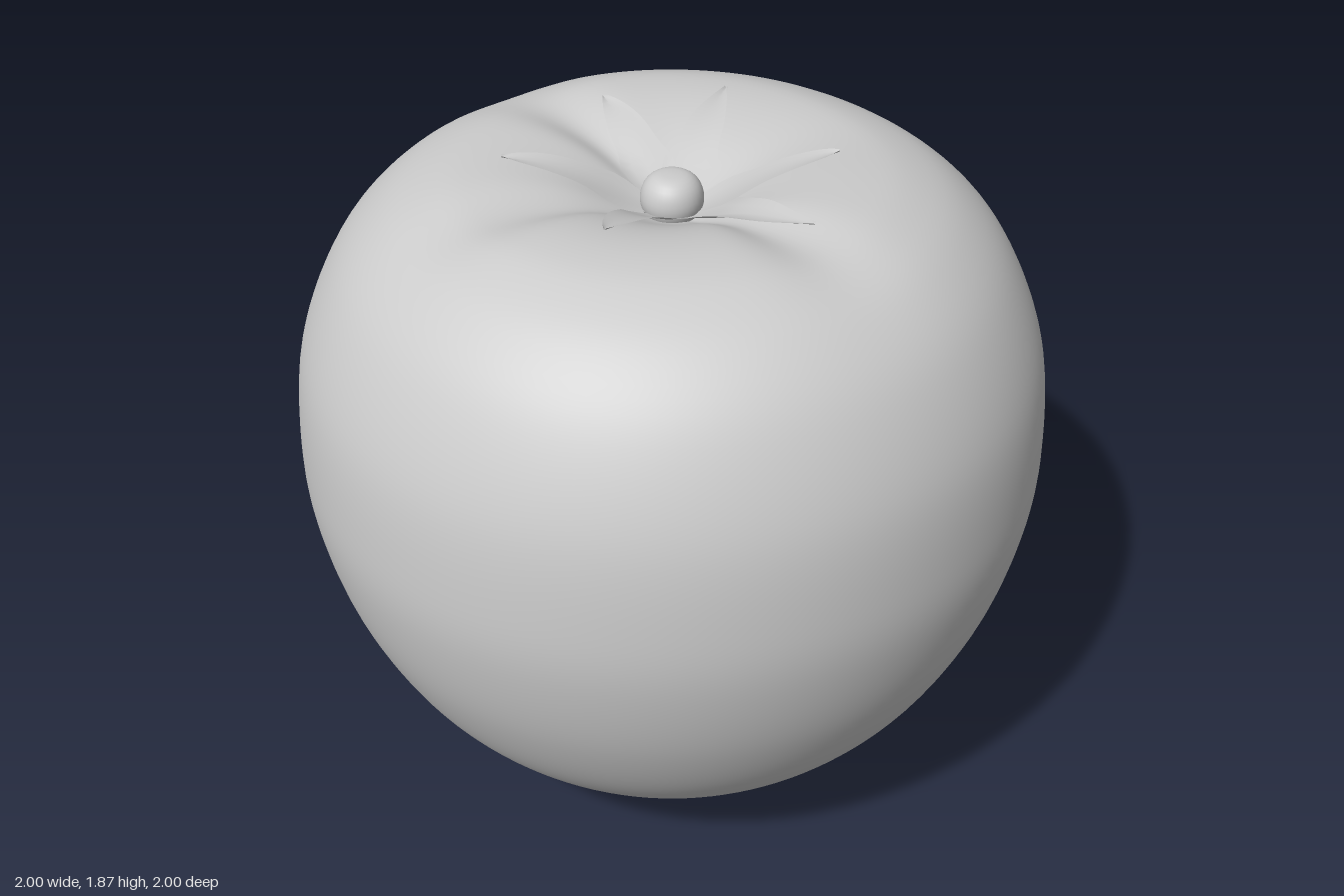
import * as THREE from 'three';
import { mergeVertices } from 'three/addons/utils/BufferGeometryUtils.js';

const TOP = 1.82;

// Creases running out from the stem: [angle from +x towards +z, width, depth]
const CREASES = [[0, 0.22, 0.035], [Math.PI, 0.22, 0.04], [1.75, 0.2, 0.03], [-1.45, 0.5, 0.025]];

// How far the top of the fruit sinks below its shoulder
function sink(x, z) {
  const r = Math.hypot(x, z);
  const angle = Math.atan2(z, x);
  let depth = 0.14 * Math.exp(-((r / 0.22) ** 2));
  const reach = (r / 0.38) ** 2 * Math.exp(1 - (r / 0.38) ** 2);
  for (const [a, width, d] of CREASES) {
    const diff = Math.atan2(Math.sin(angle - a), Math.cos(angle - a));
    depth += d * reach * Math.exp(-((diff / width) ** 2));
  }
  return depth;
}

function toVectors(points) {
  return points.map(([x, y]) => new THREE.Vector2(x, y));
}

// Lathe with a welded seam so that the normals stay smooth all round
function smoothLathe(points, divisions, segments, reshape) {
  const profile = new THREE.SplineCurve(toVectors(points)).getSpacedPoints(divisions);
  profile.forEach((p) => { p.x = Math.max(p.x, 0); });
  let geometry = new THREE.LatheGeometry(profile, segments);
  geometry.deleteAttribute('uv');
  geometry.deleteAttribute('normal');
  geometry = mergeVertices(geometry, 1e-5);
  if (reshape) reshape(geometry.attributes.position);
  geometry.computeVertexNormals();
  return geometry;
}

// One pointed leaf, lying just above the fruit and lifting towards its tip
function leafGeometry(tipX, tipZ, tipY) {
  const length = Math.hypot(tipX, tipZ);
  const dx = tipX / length, dz = tipZ / length;
  const rows = 16, cols = 4;
  const lift = tipY - (TOP - sink(tipX, tipZ)) - 0.012;
  const halfWidth = new THREE.SplineCurve(toVectors([
    [0, 0.005], [0.13, 0.07], [0.22, 0.055], [0.3, 0.046], [0.38, 0.028], [length, 0.004],
  ].filter(([r], i, all) => i === all.length - 1 || r < length - 0.03)));
  const positions = [], index = [];
  for (let i = 0; i <= rows; i++) {
    const p = halfWidth.getPoint(i / rows);
    const t = p.x / length;
    for (let j = 0; j <= cols; j++) {
      const s = (j / cols) * 2 - 1;
      const x = dx * p.x - dz * p.y * s;
      const z = dz * p.x + dx * p.y * s;
      const y = TOP - sink(x, z) + 0.012 + lift * t * t + 0.006 * t * s * s;
      positions.push(x, y, z);
      if (i < rows && j < cols) {
        const a = i * (cols + 1) + j, b = a + cols + 1;
        index.push(a, a + 1, b, a + 1, b + 1, b);
      }
    }
  }
  const geometry = new THREE.BufferGeometry();
  geometry.setAttribute('position', new THREE.Float32BufferAttribute(positions, 3));
  geometry.setIndex(index);
  geometry.computeVertexNormals();
  return geometry;
}

export function createModel() {
  const group = new THREE.Group();
  group.name = 'tomato';
  const grey = new THREE.MeshStandardMaterial({ color: 0xcccccc });
  const thin = new THREE.MeshStandardMaterial({ color: 0xcccccc, side: THREE.DoubleSide });

  function add(name, geometry, material, parent = group) {
    const mesh = new THREE.Mesh(geometry, material);
    mesh.name = name;
    parent.add(mesh);
  }

  // Fruit body: tapered base, broad shoulders, creased hollow on top
  const body = smoothLathe([
    [0, 0], [0.2, 0.025], [0.41, 0.095], [0.63, 0.225], [0.8, 0.415], [0.92, 0.65],
    [0.985, 0.89], [1, 1.1], [0.97, 1.36], [0.87, 1.59], [0.74, 1.73], [0.6, 1.8],
    [0.48, TOP], [0.3, TOP], [0.15, TOP], [0, TOP],
  ], 90, 128, (pos) => {
    for (let i = 0; i < pos.count; i++) {
      if (pos.getY(i) < 1.2) continue;
      pos.setY(i, pos.getY(i) - sink(pos.getX(i), pos.getZ(i)));
    }
  });
  add('fruitBody', body, grey);

  // Calyx: six leaves given by their tips (x, z, y)
  const calyx = new THREE.Group();
  calyx.name = 'calyx';
  group.add(calyx);
  [
    [-0.25, -0.4, 1.82], [0.27, -0.32, 1.858], [0.48, -0.04, 1.84],
    [0.21, 0.38, 1.86], [-0.3, 0.31, 1.825], [-0.43, -0.12, 1.815],
  ].forEach(([x, z, y]) => add('leaf', leafGeometry(x, z, y), thin, calyx));

  // Rounded stem stub
  add('stem', smoothLathe([
    [0.05, 1.66], [0.074, 1.695], [0.082, 1.73], [0.072, 1.768], [0.045, 1.792], [0, 1.797],
  ], 16, 32), grey);

  return group;
}
